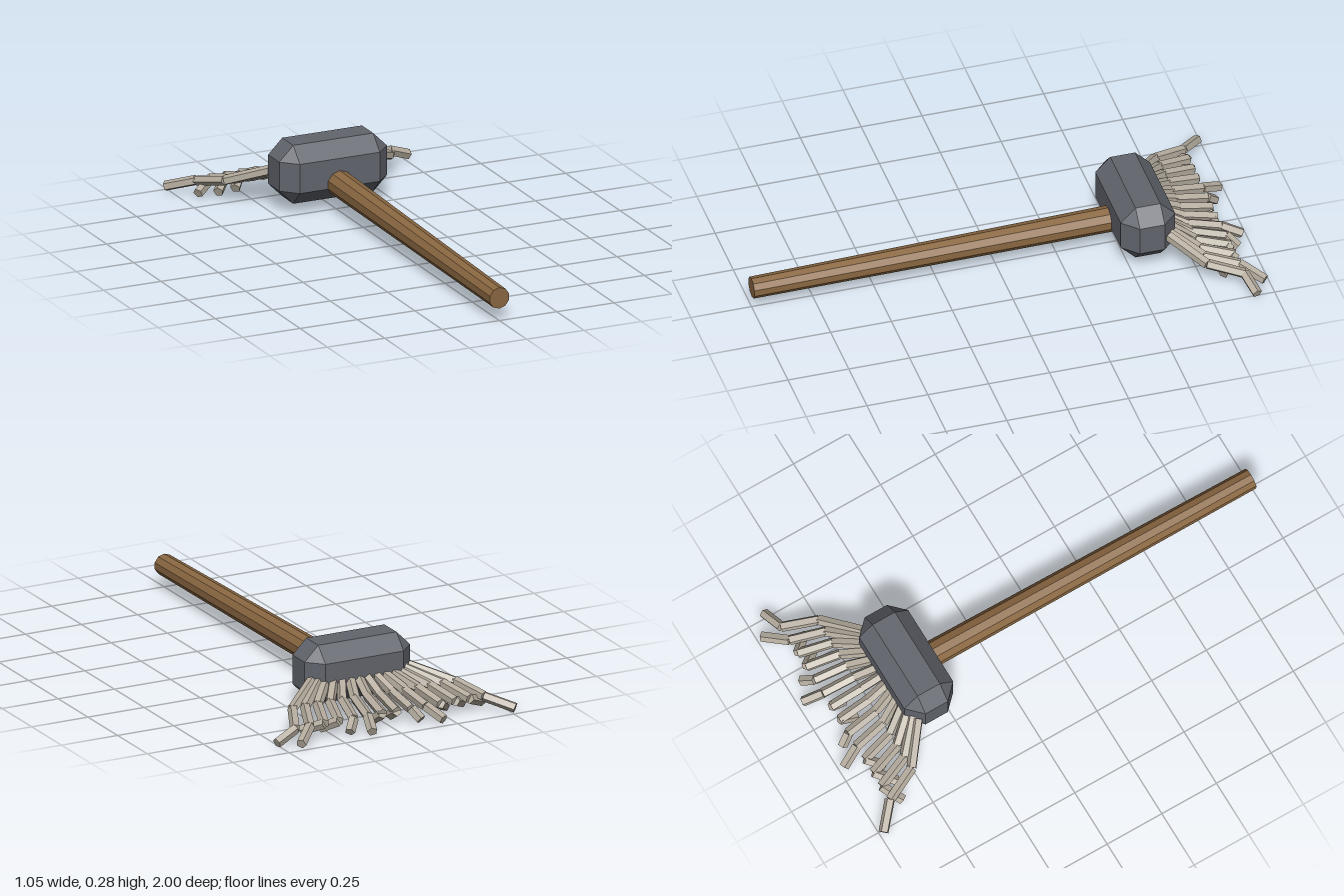
import * as THREE from 'three';
import { ConvexGeometry } from 'three/addons/geometries/ConvexGeometry.js';

const V = (x, y, z) => new THREE.Vector3(x, y, z);

function material(name, color) {
  const m = new THREE.MeshStandardMaterial({ color, flatShading: true });
  m.name = name;
  return m;
}

// Straight faceted rod from a to b
function rod(name, a, b, ra, rb, sides, mat) {
  const dir = b.clone().sub(a);
  const mesh = new THREE.Mesh(new THREE.CylinderGeometry(rb, ra, dir.length(), sides), mat);
  mesh.position.copy(a).add(b).multiplyScalar(0.5);
  mesh.quaternion.setFromUnitVectors(V(0, 1, 0), dir.normalize());
  mesh.name = name;
  return mesh;
}

// Box with every edge and corner cut flat
function chamferedBox(w, h, d, c) {
  const points = [];
  for (const x of [-1, 1]) for (const y of [-1, 1]) for (const z of [-1, 1]) {
    for (let axis = 0; axis < 3; axis++) {
      const cut = (i) => (i === axis ? 0 : c);
      points.push(V(x * (w / 2 - cut(0)), y * (h / 2 - cut(1)), z * (d / 2 - cut(2))));
    }
  }
  return new ConvexGeometry(points);
}

export function createModel() {
  const model = new THREE.Group();
  model.name = 'mop';
  const slate = material('slate grey', 0x62656d);
  const wood = material('brown wood', 0x8b6842);
  const yarn = material('pale yarn', 0xb5ac9e);

  // Long handle, slightly thicker at the head
  model.add(rod('handle', V(0, 0.097, 1), V(0, 0.121, -0.56), 0.044, 0.054, 10, wood));

  // Head block
  const head = new THREE.Mesh(chamferedBox(0.47, 0.243, 0.224, 0.061), slate);
  head.position.set(0, 0.163, -0.577);
  head.name = 'head';
  model.add(head);

  // Fan of strands; some tips reach out, the rest curl back underneath
  const tipZ = [-0.985, -0.85, -0.83, -0.84, -0.98, -0.94, -0.83, -0.84, -0.98, -0.94, -0.84, -0.83, -0.98, -0.924];
  tipZ.forEach((z, i) => {
    const t = (i / (tipZ.length - 1)) * 2 - 1;
    const strand = new THREE.Group();
    strand.name = 'strand' + (i + 1);
    const path = [
      V(0.215 * t, 0.15, -0.65),
      V(0.36 * t, 0.092, -0.765),
      V(0.42 * t, 0.06, -0.9),
      V(0.515 * t, 0.023, z),
    ];
    for (let k = 0; k < 3; k++) {
      strand.add(rod('strandSegment', path[k], path[k + 1], 0.021, 0.021, 5, yarn));
    }
    model.add(strand);
  });
  return model;
}
